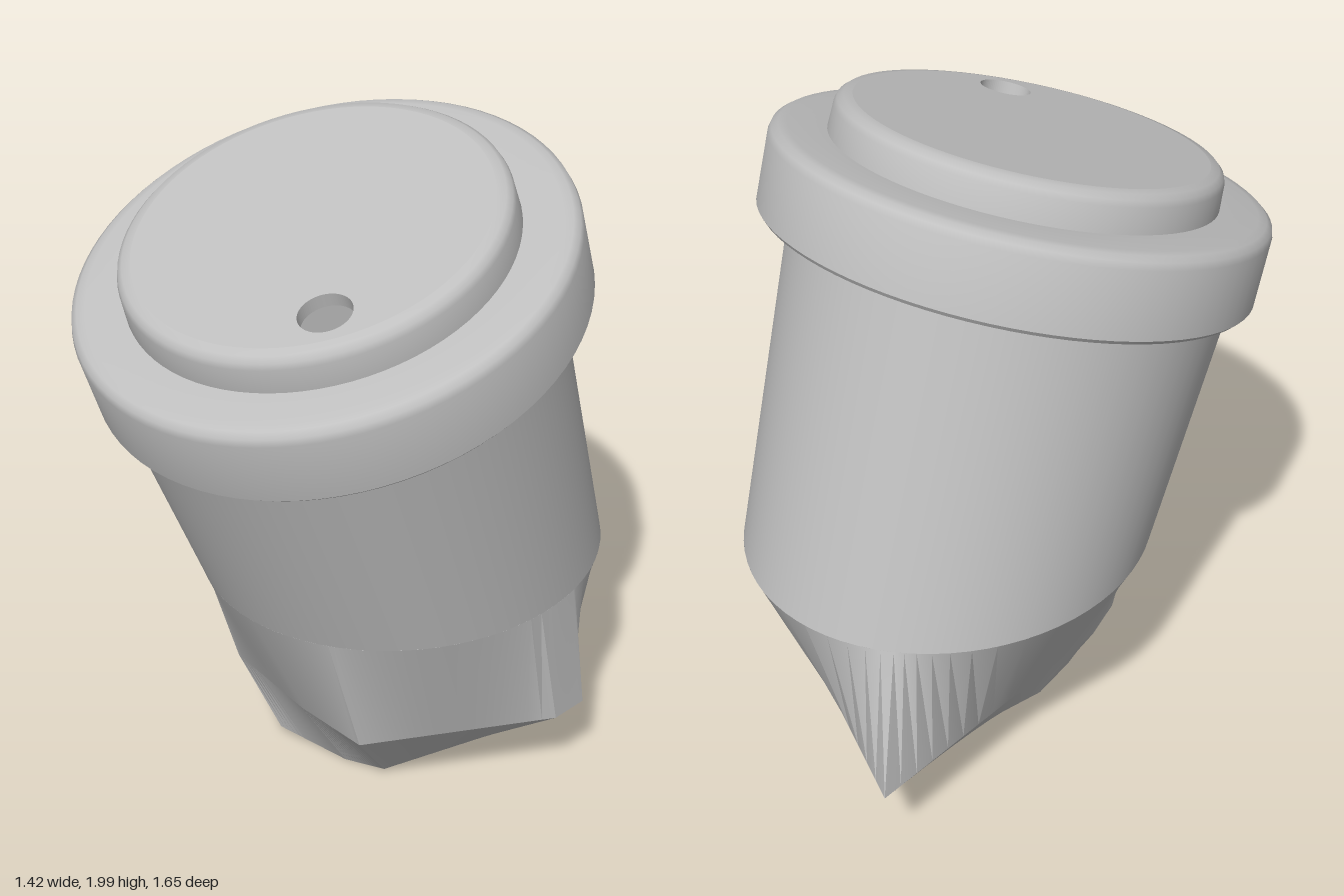
import * as THREE from 'three';
import { toCreasedNormals } from 'three/addons/utils/BufferGeometryUtils.js';

const TILT = 0.31;

// Skin between rings of equal length, listed from bottom to top
function loft(rings, crease) {
  const n = rings[0].length, pos = [], index = [];
  rings.forEach(r => r.forEach(p => pos.push(...p)));
  for (let k = 0; k < rings.length - 1; k++) {
    for (let i = 0; i < n; i++) {
      const j = (i + 1) % n;
      const a = k * n + i, d = k * n + j, b = a + n, c = d + n;
      index.push(a, b, c, a, c, d);
    }
  }
  const g = new THREE.BufferGeometry();
  g.setAttribute('position', new THREE.Float32BufferAttribute(pos, 3));
  g.setIndex(index);
  return toCreasedNormals(g, crease);
}

// Subdivide a closed polygon evenly along every edge
function subdivide(corners, steps) {
  const out = [];
  corners.forEach((p, i) => {
    const q = corners[(i + 1) % corners.length];
    for (let s = 0; s < steps; s++) out.push(p.map((v, k) => v + (q[k] - v) * s / steps));
  });
  return out;
}

// Level oval where the sleeve meets the lower body
const seamPoint = t => [0.575 * Math.cos(t), 0.69, -0.155 + 0.625 * Math.sin(t)];

export function createModel() {
  const model = new THREE.Group();
  const grey = new THREE.MeshStandardMaterial({ color: 0xc0c0c0, side: THREE.DoubleSide });
  grey.name = 'light grey';
  const add = (name, geometry, parent = model) => {
    const mesh = new THREE.Mesh(geometry, grey);
    mesh.name = name;
    parent.add(mesh);
    return mesh;
  };

  // Leaning upper body, from the level seam up into the tilted lid
  const seam = [], mouth = [];
  for (let i = 0; i < 72; i++) {
    const t = i / 72 * Math.PI * 2;
    seam.push(seamPoint(t));
    const x = 0.64 * Math.cos(t), z = 0.64 * Math.sin(t);
    mouth.push([x, 1.64 - z * Math.sin(TILT), 0.166 + z * Math.cos(TILT)]);
  }
  add('upperBody', loft([seam, mouth], 0.5));

  // Lower body, narrowing to an angular outline with one sharp rear corner
  const edge = subdivide([
    [0.58, 0.275, -0.23], [0.27, 0.275, 0.28], [0.02, 0.275, 0.28], [-0.31, 0.275, 0.24],
    [-0.35, 0.275, 0.1], [-0.36, 0.275, -0.82], [0.58, 0.275, -0.35],
  ], 14);
  const top = edge.map(([x, , z]) => seamPoint(Math.atan2(z + 0.2, x)));
  add('lowerBody', loft([edge, top], 0.5));

  // Faceted base with a sloping underside
  const foot = subdivide([
    [0.35, 0.1, -0.19], [0.17, 0.015, 0.08], [0.04, 0, 0.12], [-0.2, 0.02, 0.17],
    [-0.27, 0.09, -0.05], [-0.25, 0.13, -0.33], [0.33, 0.12, -0.25],
  ], 14);
  const middle = foot.map(() => [0.03, 0.07, -0.08]);
  add('base', loft([middle, foot, edge], 0.3));

  // Level floor inside the body
  const floor = add('innerFloor', new THREE.CircleGeometry(1, 48));
  floor.rotation.x = -Math.PI / 2;
  floor.scale.set(0.57, 0.62, 1);
  floor.position.set(0, 0.69, -0.155);

  // Lid: overhanging rim and raised step
  const lid = new THREE.Group();
  lid.name = 'lid';
  lid.position.set(0, 1.505, 0.09);
  lid.rotation.x = TILT;
  model.add(lid);
  const profile = [
    [0.55, 0.2], [0.665, 0.2], [0.665, 0.01], [0.675, 0], [0.695, 0], [0.706, 0.012],
    [0.708, 0.205], [0.702, 0.225], [0.685, 0.238], [0.66, 0.242],
    [0.55, 0.242], [0.546, 0.315], [0.54, 0.332], [0.525, 0.345], [0.5, 0.35],
  ].map(p => new THREE.Vector2(...p));
  add('lidRim', toCreasedNormals(new THREE.LatheGeometry(profile, 80), 0.7), lid);

  // Lid top plate with a sip hole
  const disc = new THREE.Shape().absarc(0, 0, 0.5, 0, Math.PI * 2);
  disc.holes.push(new THREE.Path().absarc(0.305, -0.247, 0.074, 0, Math.PI * 2, true));
  const plate = new THREE.ExtrudeGeometry(disc, { depth: 0.04, bevelEnabled: false, curveSegments: 40 });
  plate.rotateX(-Math.PI / 2);
  add('lidTop', plate, lid).position.y = 0.31;

  return model;
}
